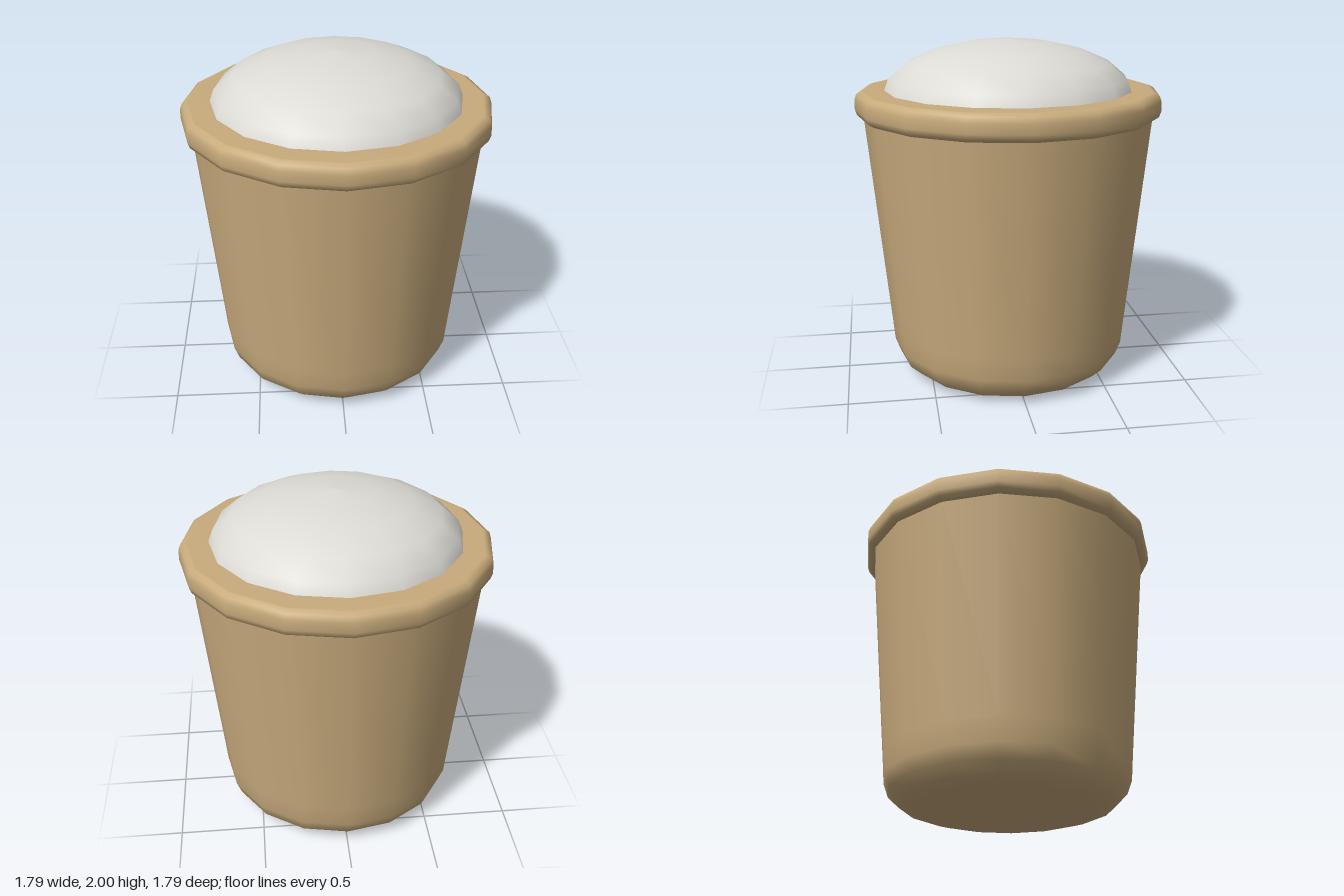
import * as THREE from 'three';

const SIDES = 16;

// Revolve a bottom-to-top [radius, height] profile; a corner is on each axis
function revolve(name, profile, material) {
  const points = profile.map(([r, y]) => new THREE.Vector2(r, y));
  const mesh = new THREE.Mesh(new THREE.LatheGeometry(points, SIDES), material);
  mesh.name = name;
  return mesh;
}

export function createModel() {
  const tan = new THREE.MeshStandardMaterial({ color: 0xc8ab7c });
  tan.name = 'tan';
  const paleGrey = new THREE.MeshStandardMaterial({ color: 0xdddbd5 });
  paleGrey.name = 'pale grey';

  const group = new THREE.Group();
  group.name = 'domedPot';

  // Tapered body with a rounded foot and flat base
  group.add(revolve('body', [
    [0, 0], [0.51, 0], [0.53, 0.004], [0.615, 0.03], [0.68, 0.09],
    [0.71, 0.17], [0.722, 0.3], [0.848, 1.58],
  ], tan));

  // Rounded rim with flat top and underside
  group.add(revolve('rim', [
    [0.7, 1.56], [0.845, 1.56], [0.858, 1.562], [0.884, 1.578], [0.895, 1.61],
    [0.895, 1.665], [0.884, 1.698], [0.858, 1.713], [0.845, 1.715], [0.66, 1.715],
  ], tan));

  // Shallow dome: upper half of a flattened sphere in 18 degree rings
  const dome = [];
  for (let i = 0; i <= 5; i++) {
    const a = (i * Math.PI) / 10;
    dome.push([i === 5 ? 0 : 0.735 * Math.cos(a), 1.684 + 0.316 * Math.sin(a)]);
  }
  group.add(revolve('dome', dome, paleGrey));

  return group;
}
